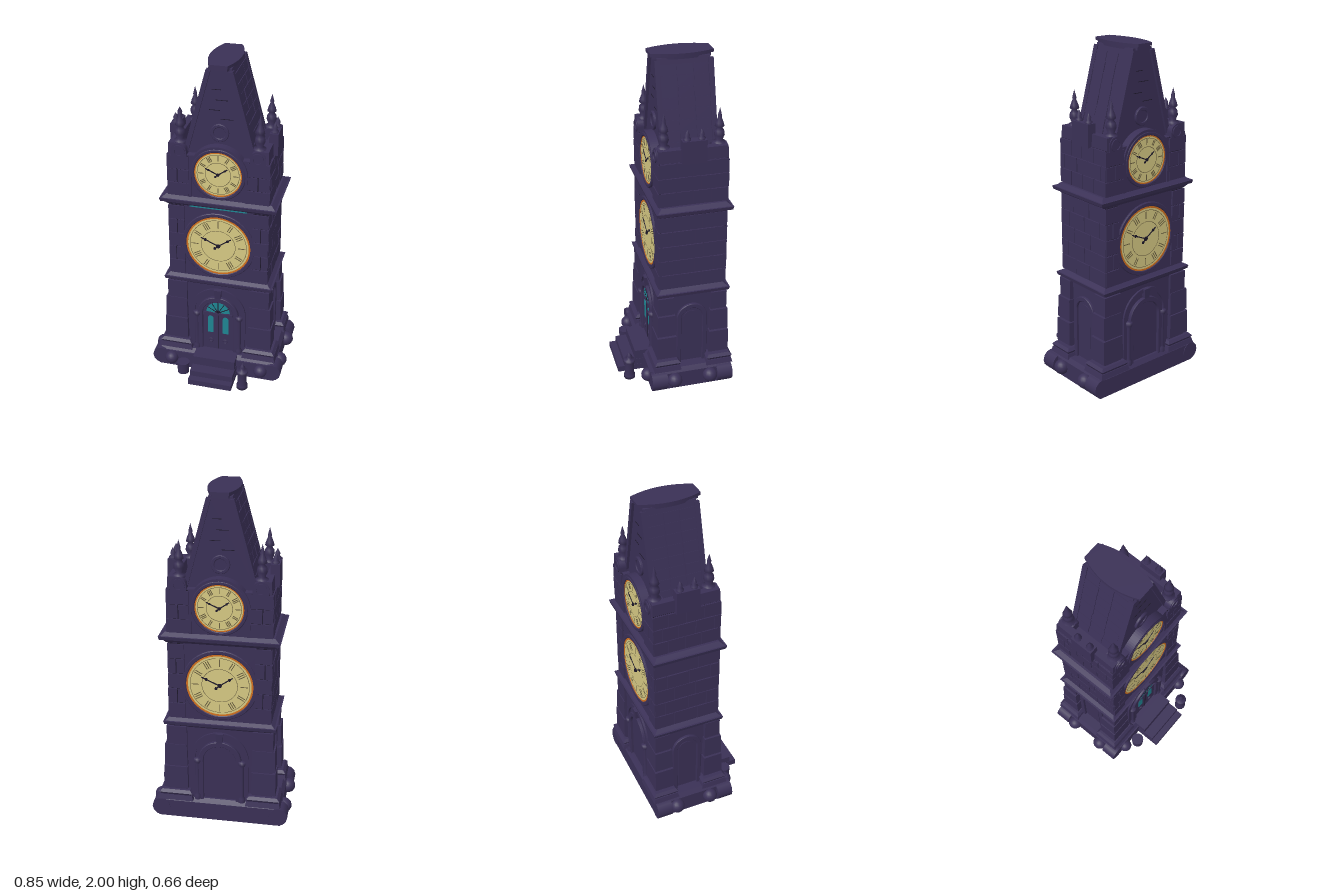
import * as THREE from 'three';

const mat = (name, color) => {
  const m = new THREE.MeshStandardMaterial({ color });
  m.name = name;
  return m;
};

export function createModel() {
  const stone = mat('purple stone', 0x3a3056), joint = mat('dark joint', 0x1b1628);
  const cream = mat('cream dial', 0xd6c983), orange = mat('orange rim', 0xd2701e);
  const teal = mat('teal glass', 0x1f8592), ink = mat('numeral brown', 0x6b6040);
  let seed = 7;
  const rnd = () => (seed = (seed * 16807) % 2147483647) / 2147483647;

  const add = (parent, name, geo, m, x = 0, y = 0, z = 0) => {
    const mesh = new THREE.Mesh(geo, m);
    mesh.name = name;
    mesh.position.set(x, y, z);
    parent.add(mesh);
    return mesh;
  };
  const group = (parent, name, ry = 0) => {
    const g = new THREE.Group();
    g.name = name;
    g.rotation.y = ry;
    parent.add(g);
    return g;
  };
  // Box given by its bottom height; the top may grow or shrink by "grow" on each side
  const block = (parent, name, w, h, d, x, y, z, grow = 0, m = stone) => {
    const geo = new THREE.BoxGeometry(w, h, d), p = geo.attributes.position;
    for (let i = 0; i < p.count; i++) if (p.getY(i) > 0) {
      p.setX(i, p.getX(i) + Math.sign(p.getX(i)) * grow);
      p.setZ(i, p.getZ(i) + Math.sign(p.getZ(i)) * grow);
    }
    geo.computeVertexNormals();
    return add(parent, name, geo, m, x, y + h / 2, z);
  };
  const extrude = (shape, depth, bevel = 0) => new THREE.ExtrudeGeometry(shape, {
    depth, curveSegments: 20, bevelEnabled: bevel > 0, bevelSize: bevel, bevelThickness: bevel, bevelSegments: 1 });
  const ring = (R, r) => {
    const s = new THREE.Shape().absarc(0, 0, R, 0, Math.PI * 2, false);
    s.holes.push(new THREE.Path().absarc(0, 0, r, 0, Math.PI * 2, true));
    return s;
  };
  const arch = (R, y0, yc) => new THREE.Shape().moveTo(-R, y0).lineTo(-R, yc)
    .absarc(0, yc, R, Math.PI, 0, true).lineTo(R, y0);
  const archFrame = (R, r, y0, yc) => arch(R, y0, yc).lineTo(r, y0).lineTo(r, yc)
    .absarc(0, yc, r, 0, Math.PI, false).lineTo(-r, y0);
  const disc = (r, d, seg = 40) => new THREE.CylinderGeometry(r, r, d, seg).rotateX(Math.PI / 2);
  const lathe = (pts, seg = 14) => new THREE.LatheGeometry(pts.map(p => new THREE.Vector2(...p)), seg);

  // Staggered masonry standing proud of a dark joint plate
  const masonry = (parent, name, x0, x1, y0, y1, rows, cols, z) => {
    const g = group(parent, name), h = (y1 - y0) / rows, w = (x1 - x0) / cols, gap = 0.005;
    block(g, 'joints', x1 - x0 - 0.01, y1 - y0, 0.008, (x0 + x1) / 2, y0, z, 0, joint);
    for (let r = 0; r < rows; r++) {
      const cuts = [x0];
      for (let c = 1; c <= cols; c++) {
        const x = x0 + w * (c - (r % 2 ? 0.5 : 0.05) + (rnd() - 0.5) * 0.2);
        if (x < x1 - w * 0.2) cuts.push(x);
      }
      cuts.push(x1);
      for (let c = 0; c + 1 < cuts.length; c++)
        block(g, 'brick', cuts[c + 1] - cuts[c] - gap, h - gap, 0.02 + rnd() * 0.006,
          (cuts[c] + cuts[c + 1]) / 2, y0 + r * h + gap / 2, z);
    }
  };

  // Clock with stone bezel, orange rim, cream dial, numerals and hands
  const clock = (parent, name, y, R, zBack, zFront, face) => {
    const g = group(parent, name);
    g.position.y = y;
    add(g, 'housing', disc(R, face - zBack), stone, 0, 0, (face + zBack) / 2);
    add(g, 'bezel', extrude(ring(R, R * 0.92), zFront - face, 0.004), stone, 0, 0, face - 0.004);
    const ro = R * 0.915, ri = name === 'lowerClock' ? R * 0.855 : R * 0.85, rd = ri;
    add(g, 'rim', extrude(ring(ro, ri), 0.007), orange, 0, 0, face);
    add(g, 'dial', disc(rd, 0.006), cream, 0, 0, face + 0.002);
    const z = face + 0.005;
    for (const r of [0.56, 0.93])
      add(g, 'dialLine', new THREE.RingGeometry(rd * r - 0.0015, rd * r + 0.0015, 40), ink, 0, 0, z + 0.0008);
    for (let i = 0; i < 12; i++) {
      const n = group(g, 'numeral');
      n.rotation.z = -i * Math.PI / 6;
      const bars = 1 + (i % 3);
      for (let b = 0; b < bars; b++)
        block(n, 'stroke', 0.005, rd * 0.24, 0.002, (b - (bars - 1) / 2) * rd * 0.07, rd * 0.65, z, 0, ink);
    }
    for (const [a, l] of [[-0.95, 0.5], [1.15, 0.62], [2.3, 0.2]]) {
      const hand = group(g, 'hand');
      hand.rotation.z = a;
      block(hand, 'pointer', 0.006, rd * l, 0.003, 0, 0, z + 0.002, 0, joint);
      add(hand, 'tip', disc(rd * 0.05, 0.003, 8), joint, 0, rd * l * 0.75, z + 0.002);
    }
    add(g, 'hub', disc(rd * 0.07, 0.008, 12), joint, 0, 0, z + 0.001);
  };

  const model = new THREE.Group();
  model.name = 'clockTower';

  // Base slab, corner blocks, boulders
  const base = group(model, 'base');
  block(base, 'slab', 0.74, 0.11, 0.49, 0, 0, -0.073, 0);
  block(base, 'slabTop', 0.74, 0.025, 0.48, 0, 0.11, -0.077, -0.02);
  for (const s of [-1, 1]) {
    for (const z of [0.127, -0.275]) {
      const c = add(base, 'cornerBlock', new THREE.CylinderGeometry(0.055, 0.055, 0.095, 12).rotateX(Math.PI / 2), stone, s * 0.355, 0.062, z);
      c.scale.y = 1.05;
    }
    for (const z of [0.033, -0.187]) add(base, 'sideBoulder', new THREE.SphereGeometry(0.045, 16, 12), stone, s * 0.378, 0.066, z);
    add(base, 'frontBoulder', new THREE.SphereGeometry(0.041, 16, 12), stone, s * 0.285, 0.066, 0.178);
  }

  // Steps and the two posts
  [[0.33, 0.037], [0.29, 0.075], [0.222, 0.135]].forEach(([z, h], i) =>
    block(base, 'step', 0.272 - i * 0.004, h, z - 0.1, -0.002, 0, (z + 0.1) / 2));
  add(base, 'shortPost', new THREE.CylinderGeometry(0.039, 0.036, 0.075, 12), stone, -0.2, 0.0375, 0.215);
  add(base, 'tallPost', lathe([[0, 0], [0.035, 0], [0.035, 0.02], [0.028, 0.03], [0.028, 0.11], [0.036, 0.115],
    [0.034, 0.13], [0.012, 0.135], [0.017, 0.155], [0.006, 0.17], [0, 0.185]]), stone, 0.192, 0, 0.272);

  const tower = group(model, 'tower');
  tower.position.z = -0.09;

  // Stacked body and cornices
  block(tower, 'lowerBody', 0.58, 0.5, 0.385, 0, 0.12, 0);
  block(tower, 'middleBody', 0.585, 0.5, 0.38, 0, 0.65, 0);
  block(tower, 'upperBody', 0.585, 0.28, 0.38, 0, 1.18, 0);
  const cornice = (y, w, d) => {
    block(tower, 'corniceBed', w - 0.07, 0.022, d - 0.05, 0, y - 0.022, 0, 0.018);
    block(tower, 'corniceEdge', w, 0.02, d, 0, y, 0, 0.005);
    block(tower, 'corniceTop', w - 0.01, 0.02, d - 0.01, 0, y + 0.02, 0, -0.025);
  };
  cornice(0.625, 0.65, 0.43);
  cornice(1.16, 0.68, 0.435);

  // Corner piers of the lower storey
  for (const sx of [-1, 1]) for (const sz of [-1, 1]) {
    const p = group(tower, 'cornerPier');
    p.position.set(sx * 0.262, 0, sz * 0.16);
    block(p, 'plinth', 0.21, 0.03, 0.165, 0, 0.125, 0, -0.008);
    block(p, 'torusMoulding', 0.18, 0.016, 0.14, 0, 0.155, 0, 0.009);
    block(p, 'torusMouldingTop', 0.198, 0.016, 0.158, 0, 0.171, 0, -0.015);
    block(p, 'pierCore', 0.12, 0.43, 0.095, -sx * 0.008, 0.18, 0);
    block(p, 'lowerPierBlock', 0.145, 0.145, 0.12, 0, 0.2, 0, -0.002);
    block(p, 'upperPierBlock', 0.138, 0.135, 0.112, -sx * 0.002, 0.357, 0, -0.004);
    block(p, 'pierCap', 0.115, 0.014, 0.094, -sx * 0.004, 0.492, 0, -0.006);
  }

  // Front and back faces
  for (const [name, ry] of [['frontFace', 0], ['backFace', Math.PI]]) {
    const f = group(tower, name, ry);
    add(f, 'outerArch', extrude(archFrame(0.17, 0.145, 0.13, 0.415), 0.014), stone, 0, 0, 0.19);
    add(f, 'innerArch', extrude(archFrame(0.125, 0.1, 0.13, 0.4), 0.02, 0.003), stone, 0, 0, 0.19);
    add(f, 'archBacking', extrude(arch(0.1, 0.13, 0.4), 0.002), stone, 0, 0, 0.193);
    block(f, 'keystone', 0.035, 0.06, 0.03, 0, 0.525, 0.2, 0.005);
    for (const s of [-1, 1]) {
      add(f, 'archColumn', lathe([[0.02, 0.13], [0.02, 0.16], [0.012, 0.17], [0.012, 0.37], [0.022, 0.39], [0.022, 0.41], [0, 0.41]], 10), stone, s * 0.133, 0, 0.205);
      masonry(f, 'middleQuoins', Math.min(s * 0.2, s * 0.3), Math.max(s * 0.2, s * 0.3), 0.67, 1.135, 5, 1, 0.19);
      masonry(f, 'upperQuoins', Math.min(s * 0.17, s * 0.3), Math.max(s * 0.17, s * 0.3), 1.2, 1.455, 3, 1, 0.19);
      // Turret below each pinnacle
      add(f, 'turret', extrude(arch(0.045, 1.45, 1.485), 0.085), stone, s * 0.228, 0, 0.117);
      add(f, 'turretMedallion', extrude(ring(0.036, 0.024), 0.008), stone, s * 0.226, 1.483, 0.2);
      // Sloping gable rail
      const rail = block(f, 'gableRail', 0.026, 0.5, 0.03, 0, -0.25, 0.15);
      rail.position.set(s * 0.128, 1.72, 0.15);
      rail.rotation.z = s * 0.263;
    }
    clock(f, 'lowerClock', 0.89, 0.215, 0.15, 0.201, 0.19);
    clock(f, 'upperClock', 1.36, 0.155, 0.1, 0.203, 0.19);
    add(f, 'clockHood', extrude(archFrame(0.172, 0.156, 1.2, 1.36), 0.09), stone, 0, 0, 0.11);
    add(f, 'gableMedallion', extrude(ring(0.05, 0.036), 0.012, 0.003), stone, 0, 1.6, 0.148);
    add(f, 'gableBoss', disc(0.034, 0.01, 20), stone, 0, 1.6, 0.152);
    for (const [x, y, w] of [[0.04, 1.68, 0.07], [-0.03, 1.73, 0.06], [0.01, 1.79, 0.07], [-0.02, 1.85, 0.05]])
      block(f, 'gableCrack', w, 0.003, 0.004, x, y, 0.15, 0, joint);
  }

  // Door, glazing and light strip
  const door = group(tower, 'door');
  add(door, 'doorLeaf', extrude(arch(0.094, 0.13, 0.4), 0.008), stone, 0, 0, 0.193);
  block(door, 'doorSeam', 0.004, 0.27, 0.004, 0, 0.135, 0.201, 0, joint);
  block(door, 'transom', 0.18, 0.014, 0.008, 0, 0.396, 0.203);
  const fan = new THREE.Shape().absarc(0, 0, 0.074, 0.06, Math.PI - 0.06, false).absarc(0, 0, 0.02, Math.PI, 0, true);
  add(door, 'fanlight', extrude(fan, 0.003), teal, 0, 0.412, 0.201);
  for (let i = 1; i < 6; i++) {
    const bar = group(door, 'fanBar');
    bar.position.y = 0.412;
    bar.rotation.z = (i - 3) * Math.PI / 6;
    block(bar, 'bar', 0.004, 0.075, 0.004, 0, 0, 0.203, 0, joint);
  }
  for (const s of [-1, 1]) {
    add(door, 'doorGlass', extrude(arch(0.018, -0.06, 0.045), 0.003), teal, s * 0.047, 0.32, 0.201);
    add(door, 'doorKnocker', new THREE.TorusGeometry(0.012, 0.004, 6, 14), stone, s * 0.045, 0.2, 0.203);
  }
  block(tower, 'lightStrip', 0.34, 0.014, 0.006, 0, 1.134, 0.193, 0, teal);

  // Side faces
  for (const [name, ry] of [['leftFace', Math.PI / 2], ['rightFace', -Math.PI / 2]]) {
    const f = group(tower, name, ry);
    add(f, 'nicheFrame', extrude(archFrame(0.09, 0.068, 0.13, 0.45), 0.016, 0.003), stone, 0, 0, 0.287);
    add(f, 'nichePanel', extrude(arch(0.05, 0.16, 0.44), 0.004), stone, 0, 0, 0.289);
    masonry(f, 'middleBricks', -0.198, 0.198, 0.665, 1.135, 5, 3, 0.288);
    masonry(f, 'upperBricks', -0.2, 0.2, 1.2, 1.46, 3, 4, 0.288);
    block(f, 'parapet', 0.4, 0.075, 0.05, 0, 1.455, 0.265, -0.004);
    block(f, 'parapetBlock', 0.14, 0.13, 0.055, 0, 1.455, 0.287, -0.002);
    for (const x of [-0.04, 0.042])
      add(f, 'smallPinnacle', lathe([[0.02, 0], [0.022, 0.012], [0.012, 0.02], [0.015, 0.035], [0, 0.065]], 10), stone, x, 1.582, 0.287);
    // Shingle courses on the roof slope
    const slope = group(f, 'shingles');
    slope.position.set(0, 1.71, 0.135);
    slope.rotation.x = -0.263;
    for (let r = 0; r < 8; r++) for (let c = 0; c < 3; c++)
      block(slope, 'shingle', 0.08 + rnd() * 0.012, 0.056, 0.008 + rnd() * 0.006, (c - 1) * 0.092, -0.24 + r * 0.06, 0);
  }

  // Steep roof and curved cap
  const gable = new THREE.Shape().moveTo(-0.205, 1.45).lineTo(0.205, 1.45).lineTo(0.065, 1.975).lineTo(-0.065, 1.975);
  add(tower, 'roof', extrude(gable, 0.3), stone, 0, 0, -0.15);
  const barrel = (w, e, l) => new THREE.Shape().moveTo(-e, -l).lineTo(e, -l)
    .quadraticCurveTo(2 * w - e, 0, e, l).lineTo(-e, l).quadraticCurveTo(e - 2 * w, 0, -e, -l);
  for (const [w, e, l, y, h] of [[0.075, 0.045, 0.165, 1.965, 0.02], [0.09, 0.05, 0.178, 1.983, 0.017]])
    add(tower, 'roofCap', extrude(barrel(w, e, l), h).rotateX(-Math.PI / 2), stone, 0, y, 0.005);

  // Corner pinnacles
  for (const x of [-0.228, 0.228]) for (const z of [-0.16, 0.155])
    add(tower, 'pinnacle', lathe([[0.036, 1.52], [0.036, 1.535], [0.018, 1.545], [0.03, 1.575], [0.026, 1.6], [0.014, 1.615],
      [0.027, 1.625], [0.022, 1.645], [0.01, 1.675], [0.012, 1.685], [0, 1.73]]), stone, x, 0, z);

  return model;
}
